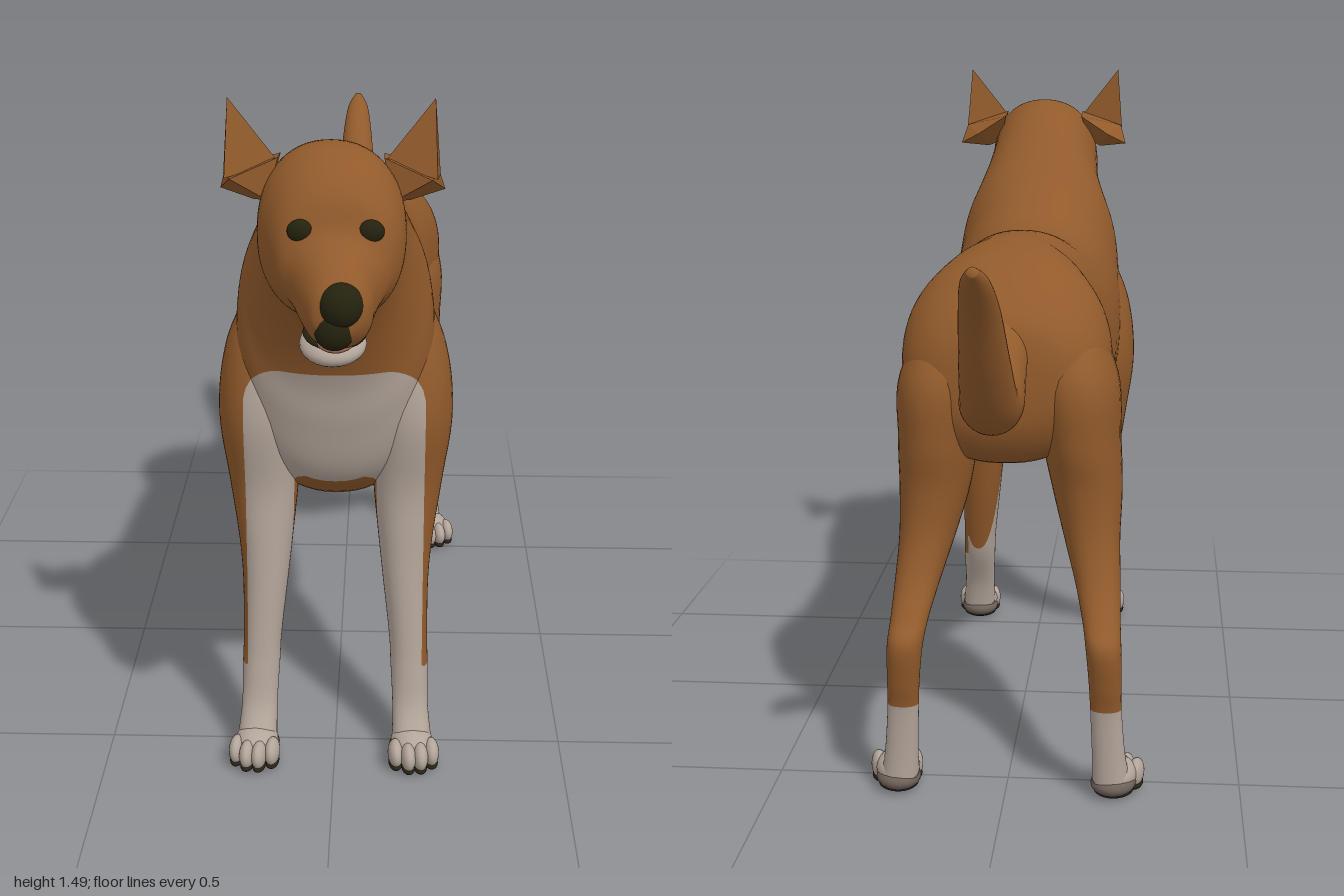
import * as THREE from 'three';
import { ConvexGeometry } from 'three/addons/geometries/ConvexGeometry.js';

const flat = (name, color) => {
  const m = new THREE.MeshStandardMaterial({ color });
  m.name = name;
  return m;
};

// Smooth interpolation between rows of section values
const spline = (a, b, c, d, t) =>
  b + 0.5 * t * (c - a + t * (2 * a - 5 * b + 4 * c - d + t * (3 * (b - c) + d - a)));

// Skin through sections [z1, y1, z2, y2, halfWidth, centreX]: two opposite edge points and a width
function loft(sections, round = 0.9, sides = 48, steps = 6) {
  const pos = [], index = [], n = sections.length;
  const row = i => sections[Math.min(n - 1, Math.max(0, i))];
  const rings = (n - 1) * steps + 1;
  for (let r = 0; r < rings; r++) {
    const k = Math.min(n - 2, Math.floor(r / steps)), t = r / steps - k;
    const [z1, y1, z2, y2, w, cx] = row(k).map((v, i) => spline(row(k - 1)[i], v, row(k + 1)[i], row(k + 2)[i], t));
    for (let j = 0; j < sides; j++) {
      const a = (j / sides) * Math.PI * 2, c = Math.cos(a), s = Math.sin(a);
      const u = Math.sign(s) * Math.abs(s) ** round, v = Math.sign(c) * Math.abs(c) ** round;
      pos.push(cx + w * v, (y1 + y2) / 2 + u * (y1 - y2) / 2, (z1 + z2) / 2 + u * (z1 - z2) / 2);
    }
  }
  for (let r = 0; r < rings - 1; r++) for (let j = 0; j < sides; j++) {
    const a = r * sides + j, b = r * sides + (j + 1) % sides;
    index.push(a, b, a + sides, b, b + sides, a + sides);
  }
  // End caps
  [0, n - 1].forEach(e => {
    const [z1, y1, z2, y2, , cx] = sections[e], centre = pos.length / 3, base = e ? (rings - 1) * sides : 0;
    pos.push(cx, (y1 + y2) / 2, (z1 + z2) / 2);
    for (let j = 0; j < sides; j++) {
      const a = base + j, b = base + (j + 1) % sides;
      index.push(centre, e ? a : b, e ? b : a);
    }
  });
  const g = new THREE.BufferGeometry();
  g.setAttribute('position', new THREE.Float32BufferAttribute(pos, 3));
  g.setIndex(index);
  g.computeVertexNormals();
  return g;
}

// White markings: socks below y 0.2, and a rounded bib running down the front half of the forelegs
function marking(x, y, z) {
  const bib = 0.09 - Math.hypot(Math.max(Math.abs(x) - 0.1, 0), Math.max(y - 0.822, 0));
  const front = z - 0.445 - Math.min(0.075, 3 * Math.max(0, 0.1 - Math.abs(x)));
  return Math.max(0.205 - y, Math.min(front, bib));
}

// Cut a skin cleanly along the edge of the markings into two material groups
function split(geometry) {
  const g = geometry.toNonIndexed(), p = g.attributes.position.array, q = g.attributes.normal.array;
  const out = [[], []];
  for (let i = 0; i < p.length; i += 9) {
    const tri = [0, 3, 6].map(o => {
      const v = [...p.slice(i + o, i + o + 3), ...q.slice(i + o, i + o + 3)];
      return { v, f: marking(v[0], v[1], v[2]) };
    });
    [-1, 1].forEach((sign, side) => {
      const poly = [];
      tri.forEach((a, k) => {
        const b = tri[(k + 1) % 3];
        if (a.f * sign >= 0) poly.push(a.v);
        if (a.f * b.f < 0) poly.push(a.v.map((n, m) => n + (b.v[m] - n) * a.f / (a.f - b.f)));
      });
      for (let k = 1; k < poly.length - 1; k++) out[side].push(poly[0], poly[k], poly[k + 1]);
    });
  }
  const all = out.flat(), r = new THREE.BufferGeometry();
  r.setAttribute('position', new THREE.Float32BufferAttribute(all.flatMap(v => v.slice(0, 3)), 3));
  r.setAttribute('normal', new THREE.Float32BufferAttribute(all.flatMap(v => v.slice(3)), 3));
  r.addGroup(0, out[0].length, 0);
  r.addGroup(out[0].length, out[1].length, 1);
  return r;
}

export function createModel() {
  const dog = new THREE.Group();
  dog.name = 'dog';
  const tan = flat('tanCoat', 0x915a2b), white = flat('whiteCoat', 0xb3a59a), grey = flat('greyHeel', 0x6e6259);
  const dark = flat('darkNose', 0x25220f), sole = flat('darkPads', 0x2a2418), pink = flat('tongue', 0x94624a);

  const add = (parent, name, geometry, material) => {
    const m = new THREE.Mesh(geometry, material);
    m.name = name;
    parent.add(m);
    return m;
  };
  const blob = (parent, name, material, at, size) => {
    const m = add(parent, name, new THREE.SphereGeometry(1, 24, 16), material);
    m.position.set(...at);
    m.scale.set(...size);
    return m;
  };

  // Rump, barrel, neck, skull and muzzle in one skin: upper line, lower line, width
  add(dog, 'body', split(loft([
    [-0.53, 0.93, -0.535, 0.86, 0.05, 0.012], [-0.51, 1.0, -0.525, 0.77, 0.145, 0.012],
    [-0.45, 1.06, -0.47, 0.70, 0.205, 0.012], [-0.35, 1.12, -0.36, 0.69, 0.226, 0.012],
    [-0.25, 1.145, -0.25, 0.70, 0.2, 0.012], [-0.17, 1.15, -0.17, 0.71, 0.168, 0.012],
    [-0.05, 1.145, -0.05, 0.665, 0.185, 0.005],
    [0.1, 1.125, 0.1, 0.60, 0.205, 0], [0.22, 1.14, 0.27, 0.56, 0.212, 0],
    [0.3, 1.18, 0.42, 0.57, 0.215, 0], [0.36, 1.21, 0.53, 0.65, 0.21, 0],
    [0.42, 1.255, 0.58, 0.78, 0.2, 0], [0.47, 1.295, 0.605, 0.88, 0.177, 0],
    [0.52, 1.335, 0.65, 0.98, 0.154, 0], [0.58, 1.375, 0.70, 1.05, 0.142, -0.002],
    [0.64, 1.40, 0.74, 1.07, 0.14, -0.002], [0.72, 1.41, 0.79, 1.085, 0.14, 0.003],
    [0.79, 1.385, 0.825, 1.095, 0.128, 0.01], [0.84, 1.34, 0.85, 1.105, 0.11, 0.012],
    [0.87, 1.275, 0.88, 1.1, 0.088, 0.014], [0.915, 1.245, 0.915, 1.085, 0.072, 0.016],
    [0.95, 1.225, 0.95, 1.085, 0.062, 0.02], [0.978, 1.2, 0.978, 1.11, 0.045, 0.02],
    [0.985, 1.165, 0.985, 1.135, 0.015, 0.02],
  ], 0.9, 72)), [tan, white]);

  // Tail: lower edge, upper edge, width
  add(dog, 'tail', loft([
    [-0.42, 0.95, -0.40, 1.07, 0.06, 0.02], [-0.51, 0.89, -0.50, 1.01, 0.064, 0.02],
    [-0.57, 0.815, -0.575, 0.965, 0.064, 0.02], [-0.635, 0.797, -0.635, 0.938, 0.066, 0.02],
    [-0.72, 0.84, -0.675, 0.94, 0.058, 0.02], [-0.80, 0.935, -0.75, 1.015, 0.05, 0.02],
    [-0.88, 1.05, -0.84, 1.115, 0.04, 0.02], [-0.95, 1.13, -0.925, 1.168, 0.028, 0.02],
    [-0.985, 1.168, -0.975, 1.185, 0.01, 0.02],
  ], 1, 32), tan);
  blob(dog, 'sheath', tan, [0.01, 0.685, -0.12], [0.03, 0.035, 0.075]).rotation.x = 0.45;

  // Face
  blob(dog, 'nose', dark, [0.026, 1.172, 0.967], [0.041, 0.042, 0.036]);
  blob(dog, 'upperLip', dark, [0.014, 1.128, 0.963], [0.038, 0.042, 0.03]);
  blob(dog, 'mouth', dark, [0.012, 1.09, 0.868], [0.06, 0.014, 0.06]).rotation.x = 0.25;
  blob(dog, 'tongue', pink, [0.014, 1.084, 0.9], [0.036, 0.012, 0.04]).rotation.x = 0.25;
  blob(dog, 'lowerJaw', white, [0.008, 1.065, 0.86], [0.063, 0.03, 0.065]).rotation.x = 0.28;

  for (const s of [1, -1]) {
    const side = s > 0 ? 'left' : 'right';
    blob(dog, side + 'Eye', dark, [0.013 + s * 0.064, 1.277, 0.854], [0.025, 0.022, 0.015]);

    // Upright ear point and the folded flap behind it
    const hull = pts => new ConvexGeometry(pts.map(([x, y, z]) => new THREE.Vector3(s * x, y, z)));
    add(dog, side + 'EarPoint', hull([[0.1, 1.37, 0.7], [0.2, 1.345, 0.735], [0.207, 1.34, 0.67], [0.195, 1.49, 0.69]]), tan);
    add(dog, side + 'EarFlap', hull([[0.1, 1.38, 0.71], [0.1, 1.37, 0.62], [0.17, 1.325, 0.6], [0.218, 1.3, 0.62],
      [0.205, 1.345, 0.66], [0.19, 1.345, 0.74], [0.15, 1.29, 0.67], [0.12, 1.3, 0.72]]), tan);

    // Legs: front edge, back edge, width
    add(dog, side + 'ForeLeg', split(loft([
      [0.48, 1.08, 0.36, 1.06, 0.045, s * 0.12], [0.535, 0.93, 0.32, 0.93, 0.085, s * 0.145],
      [0.553, 0.78, 0.3, 0.77, 0.09, s * 0.16], [0.528, 0.62, 0.34, 0.61, 0.075, s * 0.155],
      [0.53, 0.5, 0.375, 0.49, 0.06, s * 0.152], [0.535, 0.4, 0.4, 0.39, 0.05, s * 0.153],
      [0.543, 0.27, 0.435, 0.26, 0.042, s * 0.16], [0.55, 0.2, 0.455, 0.2, 0.041, s * 0.163],
      [0.565, 0.12, 0.5, 0.11, 0.039, s * 0.166], [0.6, 0.06, 0.52, 0.03, 0.043, s * 0.17],
    ])), [tan, white]);
    add(dog, side + 'HindLeg', split(loft([
      [-0.27, 1.04, -0.41, 1.04, 0.045, s * 0.11], [-0.21, 0.87, -0.53, 0.89, 0.09, 0.006 + s * 0.143],
      [-0.225, 0.72, -0.537, 0.75, 0.085, 0.004 + s * 0.155], [-0.29, 0.61, -0.522, 0.65, 0.075, s * 0.165],
      [-0.37, 0.52, -0.525, 0.55, 0.06, s * 0.177], [-0.45, 0.44, -0.555, 0.46, 0.048, s * 0.192],
      [-0.515, 0.38, -0.605, 0.39, 0.04, s * 0.202], [-0.55, 0.325, -0.645, 0.345, 0.037, s * 0.208],
      [-0.563, 0.26, -0.634, 0.26, 0.034, s * 0.212], [-0.563, 0.2, -0.62, 0.2, 0.033, s * 0.214],
      [-0.55, 0.1, -0.612, 0.1, 0.035, s * 0.22], [-0.53, 0.05, -0.61, 0.03, 0.04, s * 0.225],
    ])), [tan, white]);

    // Paws with four toes, grey heels and dark pads
    for (const [name, x, z, turn] of [['ForePaw', 0.17, 0.573, 0.1], ['HindPaw', 0.232, -0.555, 0.22]]) {
      const paw = new THREE.Group();
      paw.name = side + name;
      paw.position.set(s * x, 0, z);
      paw.rotation.y = s * turn;
      dog.add(paw);
      blob(paw, 'foot', white, [0, 0.042, 0.004], [0.047, 0.036, 0.058]);
      blob(paw, 'heel', grey, [0, 0.028, -0.008], [0.048, 0.026, 0.056]);
      blob(paw, 'heelPad', sole, [0, 0.011, -0.002], [0.043, 0.011, 0.05]);
      for (let i = 0; i < 4; i++) {
        const tx = (i - 1.5) * 0.026, tz = i % 3 ? 0.054 : 0.036;
        blob(paw, 'toe', white, [tx, 0.036, tz], [0.017, 0.03, 0.034]);
        blob(paw, 'toePad', sole, [tx, 0.012, tz], [0.015, 0.012, 0.029]);
      }
    }
  }
  return dog;
}
